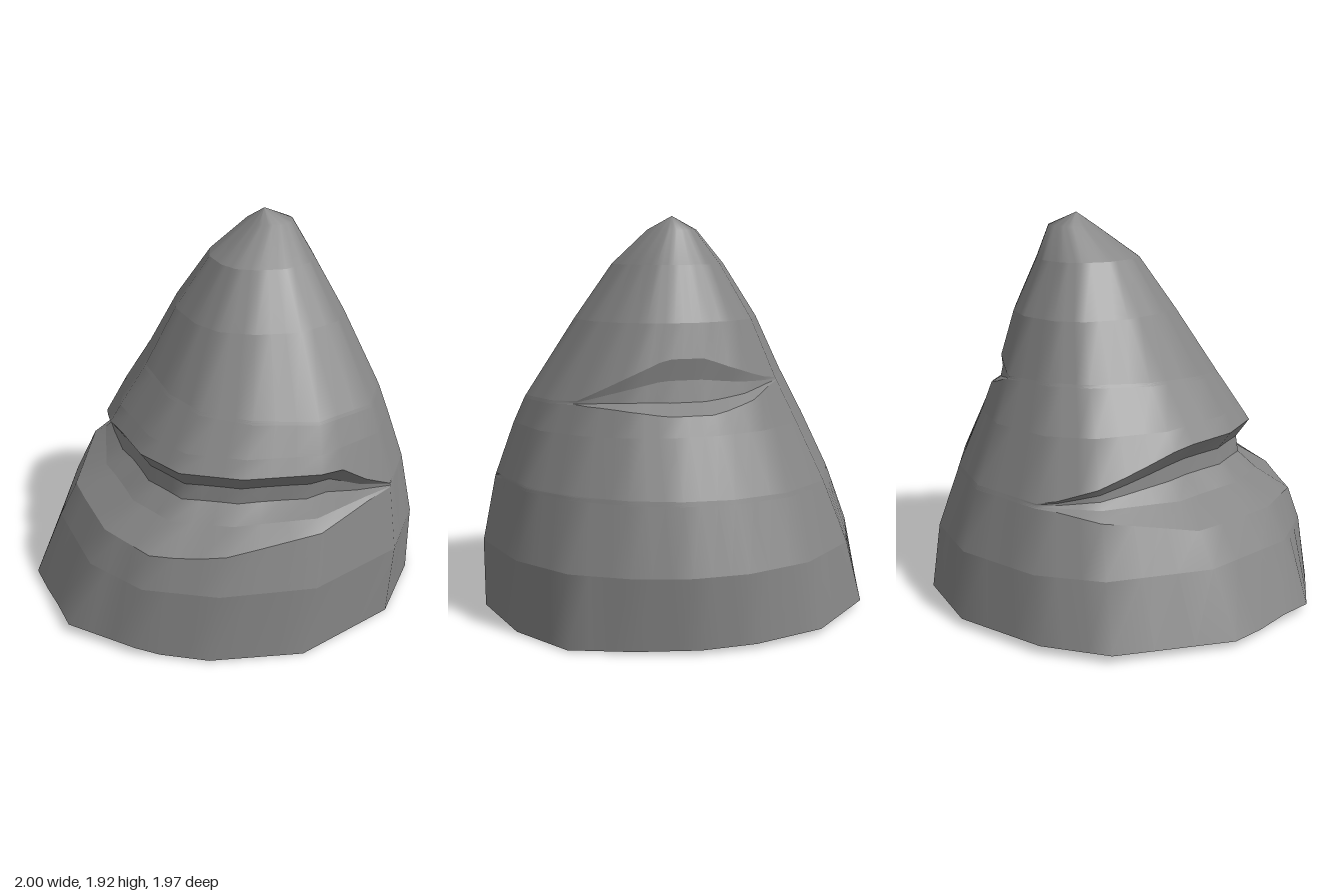
import * as THREE from 'three';

// Unit cross-section: [x, z] at the foot, then [x, z] of the rounder upper body
const OUTLINE = [
  [-0.25, -0.98, -0.25, -0.96], [0.1, -0.99, 0.12, -1], [0.57, -0.84, 0.57, -0.83],
  [0.89, -0.52, 0.85, -0.53], [0.99, -0.18, 0.98, -0.2], [1, 0.08, 1, 0.08],
  [0.94, 0.37, 0.94, 0.36], [0.84, 0.66, 0.79, 0.63], [0.55, 0.86, 0.53, 0.86],
  [0.13, 0.98, 0.13, 1], [-0.43, 0.85, -0.43, 0.88], [-0.76, 0.53, -0.81, 0.54],
  [-0.93, 0.21, -1, 0.18], [-1, -0.17, -0.95, -0.18], [-0.75, -0.65, -0.68, -0.66],
];

// Leaning cone: [height, x min, x max, z min, z max]
const EXTENTS = [
  [0, -1, 1, -0.99, 0.99],
  [0.35, -0.9, 1, -0.91, 0.99],
  [0.51, -0.82, 0.95, -0.85, 0.96],
  [0.68, -0.71, 0.9, -0.77, 0.92],
  [0.86, -0.6, 0.82, -0.68, 0.86],
  [1.03, -0.48, 0.75, -0.59, 0.79],
  [1.2, -0.36, 0.7, -0.49, 0.7],
  [1.43, -0.22, 0.62, -0.38, 0.54],
  [1.7, -0.03, 0.5, -0.2, 0.35],
  [1.86, 0.2, 0.44, -0.05, 0.19],
];

// Folds: direction, end angles and heights, fade angles, rows of [height, inset]
const FOLDS = {
  large: {
    side: -1, back: 97, front: 97, backY: 0.64, frontY: 0.68,
    fadeBack: 55, fadeUpper: 24, fadeLower: 75,
    rows: [[0.51, 0], [0.61, 0.11], [0.69, 0.155], [0.77, 0.12], [0.86, 0]],
  },
  small: {
    side: 1, back: 55, front: 47, backY: 1.16, frontY: 1.06,
    fadeBack: 42, fadeUpper: 40, fadeLower: 40,
    rows: [[1.03, 0], [1.08, 0.07], [1.18, 0.06], [1.28, 0.015]],
  },
};

const { lerp, clamp, radToDeg } = THREE.MathUtils;

function conePoint([footX, footZ, upX, upZ], y) {
  const round = clamp(y / 0.51, 0, 1);
  const ox = lerp(footX, upX, round), oz = lerp(footZ, upZ, round);
  let i = 0;
  while (i < EXTENTS.length - 2 && y > EXTENTS[i + 1][0]) i++;
  const a = EXTENTS[i], b = EXTENTS[i + 1];
  const t = (y - a[0]) / (b[0] - a[0]);
  const [x0, x1, z0, z1] = [1, 2, 3, 4].map((k) => lerp(a[k], b[k], t));
  return [(x0 + x1) / 2 + ox * (x1 - x0) / 2, y, (z0 + z1) / 2 + oz * (z1 - z0) / 2];
}

function foldPoint(column, fold, [rowY, inset]) {
  const [, , ox, oz] = column;
  const angle = radToDeg(Math.atan2(oz, ox * fold.side));
  const tipY = lerp(fold.backY, fold.frontY, (oz + 1) / 2);
  const left = angle < 0 ? fold.back + angle : fold.front - angle;
  const fadeFront = rowY > tipY ? fold.fadeUpper : fold.fadeLower;
  const w = clamp(left / (angle < 0 ? fold.fadeBack : fadeFront), 0, 1);
  // rows draw together at the ends of the fold
  const p = conePoint(column, tipY + (rowY - tipY) * Math.max(0.06, w));
  const len = Math.hypot(ox, oz);
  p[0] -= (ox / len) * inset * w;
  p[2] -= (oz / len) * inset * w;
  return p;
}

export function createModel() {
  // subdivide the edges of the cross-section
  const steps = 3, ring = [];
  OUTLINE.forEach((p, i) => {
    const next = OUTLINE[(i + 1) % OUTLINE.length];
    for (let s = 0; s < steps; s++) ring.push(p.map((v, k) => lerp(v, next[k], s / steps)));
  });

  const plain = (y) => (c) => conePoint(c, y);
  const folded = (fold) => fold.rows.map((row) => (c) => foldPoint(c, fold, row));
  const underside = () => [0, 0.02, 0];
  const foot = ([x, z]) => [x, 0.02 - 0.02 * z + (x < -0.9 ? 0.02 : 0), z];
  const apex = () => [0.29, 1.925, 0.06];

  const body = [
    underside, foot, plain(0.35), ...folded(FOLDS.large),
    plain(0.94), ...folded(FOLDS.small), plain(1.44), plain(1.7),
  ];
  // each band is smooth around and meets the next at an edge; the tip is one smooth band
  const bands = body.slice(1).map((row, i) => [body[i], row]);
  bands.push([plain(1.7), plain(1.86), apex]);

  const n = ring.length, pos = [], index = [];
  for (const rows of bands) {
    const start = pos.length / 3;
    rows.forEach((row) => ring.forEach((c) => pos.push(...row(c))));
    for (let r = 0; r < rows.length - 1; r++) {
      for (let i = 0; i < n; i++) {
        const a = start + r * n + i, c = start + r * n + (i + 1) % n;
        index.push(a, a + n, c, c, a + n, c + n);
      }
    }
  }

  const geometry = new THREE.BufferGeometry();
  geometry.setAttribute('position', new THREE.Float32BufferAttribute(pos, 3));
  geometry.setIndex(index);
  geometry.computeVertexNormals();

  const mesh = new THREE.Mesh(
    geometry,
    new THREE.MeshStandardMaterial({ color: 0x858585, side: THREE.DoubleSide }),
  );
  mesh.name = 'foldedCone';
  const group = new THREE.Group();
  group.name = 'leaningCone';
  group.add(mesh);
  return group;
}
